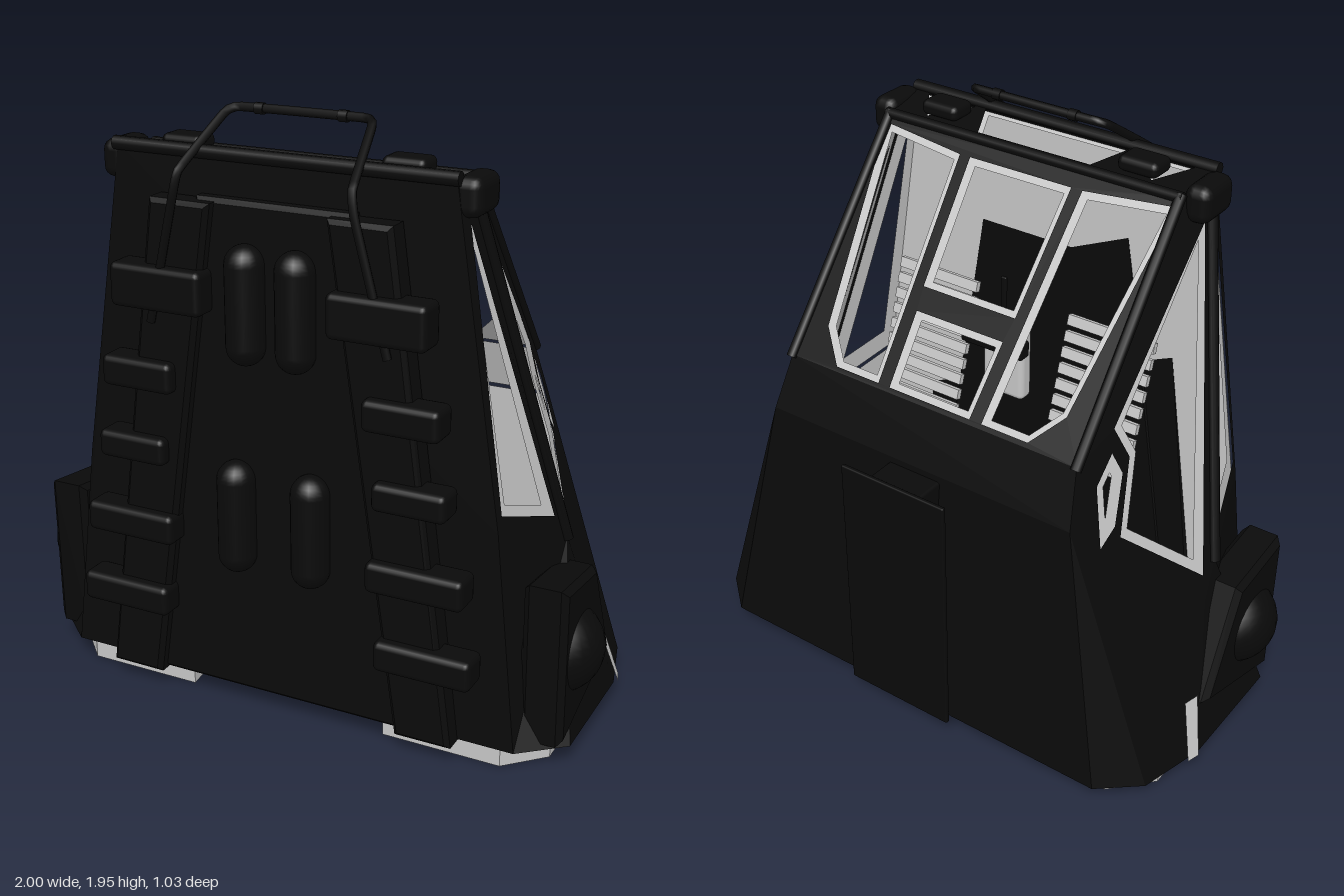
import * as THREE from 'three';
import { RoundedBoxGeometry } from 'three/addons/geometries/RoundedBoxGeometry.js';

const mat = (name, color, side = THREE.FrontSide) => {
  const m = new THREE.MeshStandardMaterial({ side });
  m.color.set(color);
  m.name = name;
  return m;
};
const V3 = (p) => new THREE.Vector3(...p);

// Average normal of a 3D polygon
function polyNormal(pts) {
  const n = new THREE.Vector3();
  pts.forEach((p, i) => n.add(p.clone().cross(pts[(i + 1) % pts.length])));
  return n.normalize();
}

// Shrink a polygon by d inside its own plane
function inset(pts, d) {
  const n = polyNormal(pts), k = pts.length;
  return pts.map((p, i) => {
    const a = p.clone().sub(pts[(i + k - 1) % k]).normalize();
    const b = pts[(i + 1) % k].clone().sub(p).normalize();
    const m1 = n.clone().cross(a), m2 = n.clone().cross(b);
    const s = d / Math.max(0.3, 1 + m1.dot(m2));
    return p.clone().add(m1.add(m2).multiplyScalar(s));
  });
}

// Flat panel with holes that faces away from the cabin centre
function panel(outer, holes = [], shift = 0) {
  const n = polyNormal(outer);
  const c = outer.reduce((s, p) => s.add(p), new THREE.Vector3()).divideScalar(outer.length);
  if (n.dot(c.sub(new THREE.Vector3(0, 0.8, 0))) < 0) n.negate();
  const u = new THREE.Vector3(0, 1, 0);
  if (Math.abs(n.y) > 0.9) u.set(1, 0, 0);
  u.cross(n).normalize();
  const v = n.clone().cross(u);
  const flat = (ps) => ps.map((p) => new THREE.Vector2(p.dot(u), p.dot(v)));
  const all = [outer, ...holes].flat(), pos = [];
  for (const t of THREE.ShapeUtils.triangulateShape(flat(outer), holes.map(flat))) {
    const [a, b, d] = t.map((i) => all[i]);
    const up = b.clone().sub(a).cross(d.clone().sub(a)).dot(n) > 0;
    for (const p of up ? [a, b, d] : [a, d, b]) pos.push(...p.clone().addScaledVector(n, shift));
  }
  const g = new THREE.BufferGeometry();
  g.setAttribute('position', new THREE.Float32BufferAttribute(pos, 3));
  g.computeVertexNormals();
  return g;
}

// Mirror a geometry in x and keep its faces outward
function mirror(geo) {
  const g = (geo.index ? geo.toNonIndexed() : geo.clone()).scale(-1, 1, 1);
  for (const a of Object.values(g.attributes)) {
    const s = a.itemSize;
    for (let i = 0; i < a.array.length; i += 3 * s)
      for (let j = 0; j < s; j++) {
        const t = a.array[i + s + j];
        a.array[i + s + j] = a.array[i + 2 * s + j];
        a.array[i + 2 * s + j] = t;
      }
  }
  return g;
}

export function createModel() {
  const group = new THREE.Group();
  const black = mat('hullBlack', 0x0a0a0a);
  const light = mat('liningGrey', 0xc6c6c6, THREE.DoubleSide);

  const add = (name, geo, m = black) => {
    const mesh = new THREE.Mesh(geo, m);
    mesh.name = name;
    group.add(mesh);
  };
  const both = (name, geo, m = black) => {
    add(name + 'Left', geo, m);
    add(name + 'Right', mirror(geo), m);
  };
  const box = (w, h, d, x, y, z, r = 0.01) => new RoundedBoxGeometry(w, h, d, 2, r).translate(x, y, z);
  const bar = (a, b, r) => {
    const d = b.clone().sub(a);
    return new THREE.CylinderGeometry(r, r, d.length() + r, 10)
      .applyQuaternion(new THREE.Quaternion().setFromUnitVectors(new THREE.Vector3(0, 1, 0), d.clone().normalize()))
      .translate(...a.clone().add(b).multiplyScalar(0.5));
  };
  const prism = (pts, depth, z, bevel = 0.015) => new THREE.ExtrudeGeometry(
    new THREE.Shape(pts.map((p) => new THREE.Vector2(...p))),
    { depth, bevelEnabled: bevel > 0, bevelSize: bevel, bevelThickness: bevel, bevelSegments: 1, curveSegments: 8 },
  ).translate(0, 0, z);
  // A hull panel plus the pale lining whose rim frames each opening
  const skin = (name, outer, holes = [], two = true, rim = 0.032) => {
    const put = two ? both : add;
    put(name, panel(outer, holes));
    put(name + 'Lining', panel(inset(outer, 0.008), holes.map((h) => inset(h, rim)), -0.012), light);
  };
  const flipX = (ps) => ps.map((p) => new THREE.Vector3(-p.x, p.y, p.z));
  const across = (ps) => [...ps, ...flipX(ps).reverse()];

  // Planes of the upper cabin
  const side = (z, y) => V3([0.59 - 0.294 * (y - 1.7) + 0.35 * (z - 0.26), y, z]);
  const cheek = (z, y) => V3([0.58 - 0.155 * (y - 1.8) - 0.282 * (z - 0.32), y, z]);
  const screen = (x, z) => V3([x, 1.79 + 1.245 * (z - 0.2), z]);
  const roof = (x, z) => V3([x, 1.79 + (z - 0.2) * 0.167, z]);

  const P0 = cheek(0.38, 1.82), P1 = side(0.32, 1.81), P2 = side(0.2, 1.79);
  const W = side(-0.33, 1.13), K = side(-0.4, 0.95), N = side(-0.33, 0.82);
  const U = side(0, 0.54), S = side(0.07, 0.67), F = cheek(0.385, 0.78);
  const [B0, B1, B2, B3, B4] = [[0.8, 0.07, 0.4], [0.94, 0.07, 0.28], [0.94, 0.07, -0.15],
    [0.88, 0.07, -0.38], [0.75, 0.07, -0.49]].map(V3);

  // Cabin with its windows
  skin('sideWall', [P1, P2, W, K, N, U, S], [
    [[0.27, 1.7], [-0.18, 1.2], [-0.15, 1.1], [-0.24, 0.87], [0.015, 0.63]].map((p) => side(...p)),
    [[-0.205, 1.13], [-0.28, 1.05], [-0.315, 0.86], [-0.25, 0.91], [-0.185, 1.06]].map((p) => side(...p)),
  ]);
  skin('cheekWall', [P0, P1, S, F], [[[0.345, 1.69], [0.12, 0.75], [0.36, 0.83]].map((p) => cheek(...p))]);
  const pane = [[0.2, -0.32], [0.37, -0.32], [0.46, -0.25], [0.54, 0.18], [0.23, 0.16]].map((p) => screen(...p));
  skin('windscreenFrame', across([P2, W]), [
    pane, flipX(pane),
    across([screen(0.155, -0.32), screen(0.165, -0.16)]),
    across([screen(0.175, -0.11), screen(0.19, 0.16)]),
  ], false, 0.022);
  const vent = [[0.31, 0.355], [0.5, 0.355], [0.42, 0.24]].map((p) => roof(...p));
  skin('roof', across([P0, P1, P2]),
    [across([roof(0.27, 0.355), roof(0.21, 0.23)]), vent, flipX(vent)], false, 0.012);
  skin('frontWall', across([P0, F, B0]), [], false);
  skin('rearSill', across([W, K]), [], false);

  // Flared lower hull
  skin('rearWall', across([K, B4]), [], false);
  skin('frontCorner', [F, S, B1, B0]);
  skin('lowerSide', [S, U, B2, B1]);
  skin('rearQuarterUpper', [U, N, B3]);
  skin('rearQuarterLower', [U, B3, B2]);
  skin('rearCorner', [N, K, B4, B3]);
  both('sideStripe', panel([[0.9, 0.26, -0.11], [0.886, 0.26, -0.165],
    [0.937, 0.07, -0.21], [0.95, 0.07, -0.165]].map(V3)), light);

  // Roof rim and pillars
  both('roofLip', box(0.09, 0.12, 0.17, 0.585, 1.765, 0.295, 0.035));
  both('windowPillar', bar(P1, S, 0.018));
  both('screenPillar', bar(P2, W, 0.018));
  add('frontRim', bar(P0, flipX([P0])[0], 0.022));
  add('rearRim', bar(P2, flipX([P2])[0], 0.018));
  both('roofKnuckle', box(0.14, 0.05, 0.1, 0.37, 1.825, 0.28, 0.02));

  // Round side pods on raised panels
  both('podPanel', prism([[0.33, 0.6], [0.08, 0.57], [-0.08, 0.24], [0.32, 0.11]], 0.1, -0.12, 0.02)
    .rotateY(-Math.PI / 2).translate(0.79, 0, 0));
  both('sidePod', new THREE.SphereGeometry(0.15, 28, 20).translate(0.85, 0.36, 0.19));

  // Front pack: backing plate, leaning rails, clamps and rounded canisters
  add('packPlate', prism([[-0.25, 1.68], [-0.5, 0.08], [0.5, 0.08], [0.25, 1.68]], 0.03, 0.385));
  both('packRail', prism([[0.21, 1.67], [0.39, 1.67], [0.6, 0.08], [0.44, 0.08]], 0.065, 0.39));
  for (const [y, h, x, w] of [[1.41, 0.14, 0.37, 0.32], [1.125, 0.1, 0.45, 0.25], [0.875, 0.09, 0.48, 0.24],
    [0.61, 0.1, 0.5, 0.32], [0.35, 0.1, 0.53, 0.32]])
    both('packClamp', box(w, h, 0.11, x, y, 0.455, 0.02));
  for (const [x, y, len] of [[0.085, 1.385, 0.25], [0.13, 0.69, 0.25]])
    both('canister', new THREE.CapsuleGeometry(0.063, len, 8, 16).translate(x, y, 0.445));

  // Grab handle over the roof
  const leg = [[0.4, 1.3, 0.48], [0.3, 1.7, 0.49], [0.285, 1.78, 0.475], [0.245, 1.92, 0.27], [0.21, 1.935, 0.24]];
  const path = [...leg, ...leg.map(([x, y, z]) => [-x, y, z]).reverse()].map(V3);
  add('grabHandle', new THREE.TubeGeometry(new THREE.CatmullRomCurve3(path, false, 'catmullrom', 0.15), 90, 0.014, 8));
  both('handleGrip', new THREE.CylinderGeometry(0.018, 0.018, 0.03, 10).rotateZ(Math.PI / 2).translate(0.14, 1.935, 0.24));

  // Rear rail with a flat flange
  add('rearRail', box(0.2, 0.86, 0.12, 0, 0.5, -0.45));
  add('rearFlange', box(0.4, 0.88, 0.016, 0, 0.5, -0.511, 0.005));

  // Floor with an oval hatch, and two foot pads cut to suit it
  const arc = (a) => [0.5 * Math.cos(a), -0.015 + 0.38 * Math.sin(a)];
  const ring = Array.from({ length: 40 }, (_, i) => arc((i / 40) * Math.PI * 2)).map(([x, z]) => V3([x, 0.075, z]));
  add('floor', panel(across([B0, B1, B2, B3, B4]), [ring]), light);
  add('hatchWall', new THREE.CylinderGeometry(0.5, 0.5, 0.14, 40, 1, true).scale(1, 1, 0.76)
    .translate(0, 0.14, -0.015), light);
  const bite = Array.from({ length: 11 }, (_, i) => arc((i / 10 - 0.5) * 1.5));
  both('footPad', prism([[0.35, 0.38], [0.75, 0.38], [0.87, 0.26], [0.87, -0.28], [0.75, -0.41], [0.35, -0.41], ...bite],
    0.07, 0, 0).rotateX(Math.PI / 2).translate(0, 0.07, 0), light);

  // Interior slats and a small control console
  for (let i = 0; i < 9; i++)
    both('slat', new THREE.BoxGeometry(0.32, 0.035, 0.02).rotateX(0.3)
      .translate(0.34, 0.85 + i * 0.052, 0.06 + i * 0.016), light);
  add('consoleBack', box(0.16, 0.3, 0.06, 0, 1.12, 0.1, 0.02), light);
  add('console', box(0.24, 0.06, 0.05, 0, 1.2, 0.03));
  add('consoleMast', box(0.02, 0.22, 0.012, 0, 1.3, 0.08, 0.004));
  add('footRail', box(0.02, 0.012, 0.26, 0, 0.79, -0.08, 0.004));
  return group;
}
